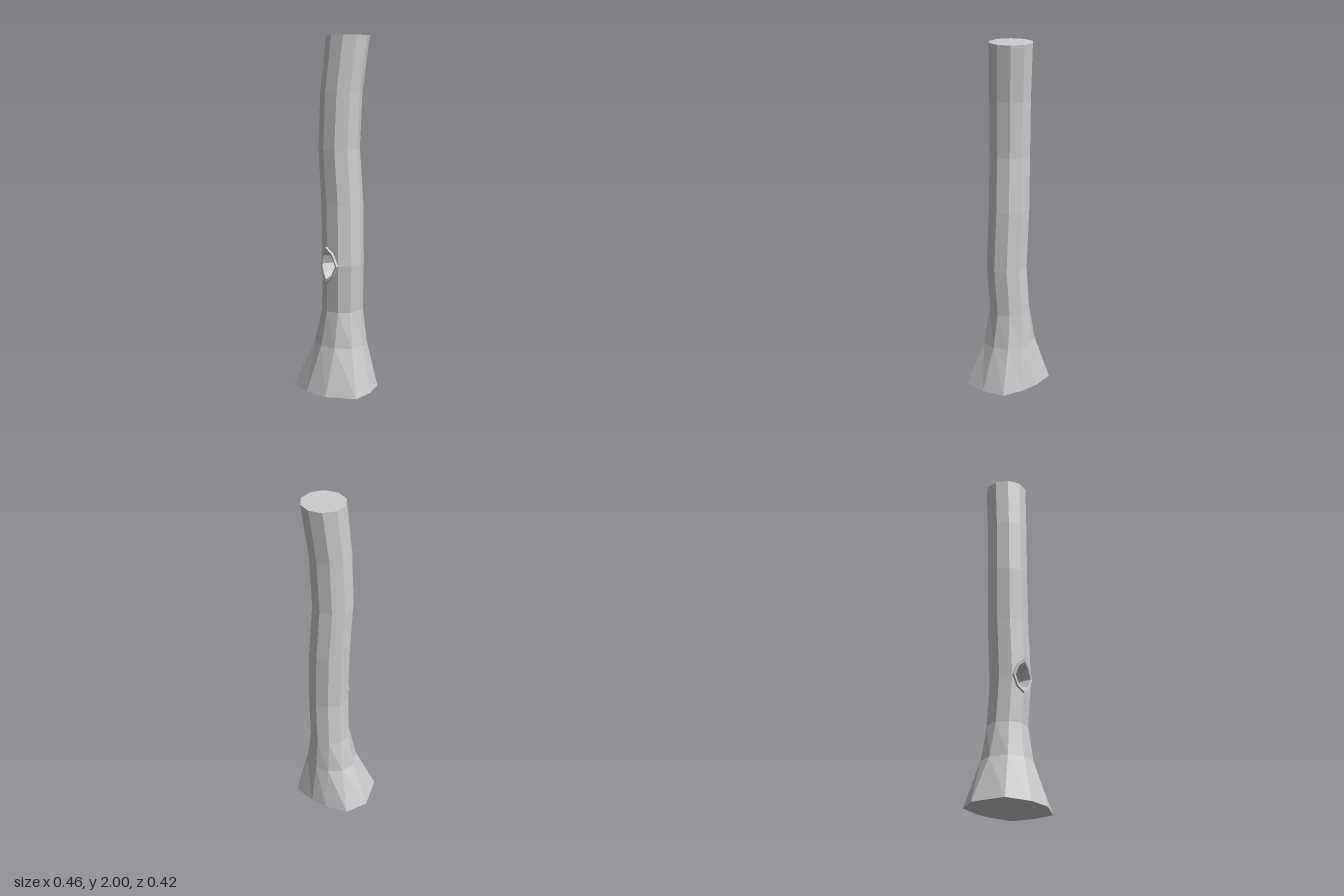
import * as THREE from 'three';

const SIDES = 10;
const angle = (j) => THREE.MathUtils.degToRad(7 + 36 * j);
const KNOT = { ring: 3, side: 3 }; // the trunk vertex replaced by the knot hole

// Irregular flared foot, [x, z]
const FOOT = [
  [0.23, 0.04], [0.197, 0.168], [0.027, 0.207], [-0.108, 0.172], [-0.232, 0.08],
  [-0.22, -0.115], [-0.12, -0.21], [0.015, -0.195], [0.11, -0.16], [0.22, -0.09],
];

// Trunk sections: [height, centre x, centre z, radius, share of foot shape]
const SECTIONS = [
  [0, 0, 0, 0.2, 1],
  [0.26, 0.027, -0.025, 0.117, 0.27],
  [0.46, 0.027, -0.025, 0.117, 0],
  [0.73, 0.037, -0.01, 0.118, 0],
  [1.07, 0.028, -0.02, 0.118, 0],
  [1.38, 0.01, -0.015, 0.116, 0],
  [1.69, 0.02, -0.022, 0.117, 0],
  [2, 0.05, -0.043, 0.121, 0],
];

const makeRing = ([y, cx, cz, r, foot]) => FOOT.map(([fx, fz], j) =>
  new THREE.Vector3(cx + r * Math.cos(angle(j)), y, cz + r * Math.sin(angle(j)))
    .lerp(new THREE.Vector3(fx, y, fz), foot));

function meshFrom(name, triangles) {
  const geometry = new THREE.BufferGeometry().setFromPoints(triangles);
  geometry.computeVertexNormals();
  const material = new THREE.MeshStandardMaterial({ color: 0xcccccc, flatShading: true });
  const mesh = new THREE.Mesh(geometry, material);
  mesh.name = name;
  return mesh;
}

export function createModel() {
  const group = new THREE.Group();
  group.name = 'treeTrunk';
  const rings = SECTIONS.map(makeRing);
  const bark = [];

  // Bark faces, leaving out the four around the knot hole
  for (let i = 0; i < rings.length - 1; i++) {
    for (let j = 0; j < SIDES; j++) {
      const byKnot = (i === KNOT.ring || i === KNOT.ring - 1) && (j === KNOT.side || j === KNOT.side - 1);
      if (byKnot) continue;
      const k = (j + 1) % SIDES;
      const a = rings[i][j], b = rings[i][k], c = rings[i + 1][k], d = rings[i + 1][j];
      bark.push(a, d, c, a, c, b);
    }
  }

  // Faces around the hole: each quad keeps its far corner and is cut back to the rim
  const centre = rings[KNOT.ring][KNOT.side];
  const cut = (side, up) => {
    const beside = rings[KNOT.ring][KNOT.side + side];
    const corner = rings[KNOT.ring + up][KNOT.side + side];
    const above = rings[KNOT.ring + up][KNOT.side];
    const tip = centre.clone().lerp(above, up > 0 ? 0.31 : 0.37);
    const diagonal = centre.clone()
      .addScaledVector(beside.clone().sub(centre), 0.6)
      .addScaledVector(tip.clone().sub(centre), 0.65);
    const fan = [[corner, above, tip], [corner, tip, diagonal], [corner, diagonal, beside]];
    for (const t of fan) bark.push(...(side * up < 0 ? t : t.reverse()));
    return { beside, tip, diagonal };
  };
  const ru = cut(-1, 1), lu = cut(1, 1), ld = cut(1, -1), rd = cut(-1, -1);
  const rim = [ru.beside, ru.diagonal, ru.tip, lu.diagonal, lu.beside, ld.diagonal, ld.tip, rd.diagonal];

  // End caps
  const top = rings[rings.length - 1], bottom = rings[0];
  const caps = [];
  for (let j = 1; j < SIDES - 1; j++) {
    caps.push(top[0], top[j + 1], top[j], bottom[0], bottom[j], bottom[j + 1]);
  }

  // Knot hole: raised lip, then a hollow narrowing into the trunk
  const out = new THREE.Vector3(Math.cos(angle(KNOT.side)), 0, Math.sin(angle(KNOT.side)));
  const inset = (scale, push) => rim.map((p) =>
    centre.clone().lerp(p, scale).addScaledVector(out, push));
  const loops = [rim, inset(0.98, 0.012), inset(0.8, 0.008), inset(0.5, -0.08)];
  const strip = (outer, inner) => outer.flatMap((p, i) => {
    const n = (i + 1) % outer.length;
    return [p, outer[n], inner[n], p, inner[n], inner[i]];
  });
  const lip = [...strip(loops[0], loops[1]), ...strip(loops[1], loops[2])];
  const hollow = strip(loops[2], loops[3]);
  const floor = loops[3];
  for (let i = 1; i < floor.length - 1; i++) hollow.push(floor[0], floor[i], floor[i + 1]);

  group.add(
    meshFrom('bark', bark),
    meshFrom('endCaps', caps),
    meshFrom('knotLip', lip),
    meshFrom('knotHollow', hollow),
  );
  return group;
}
